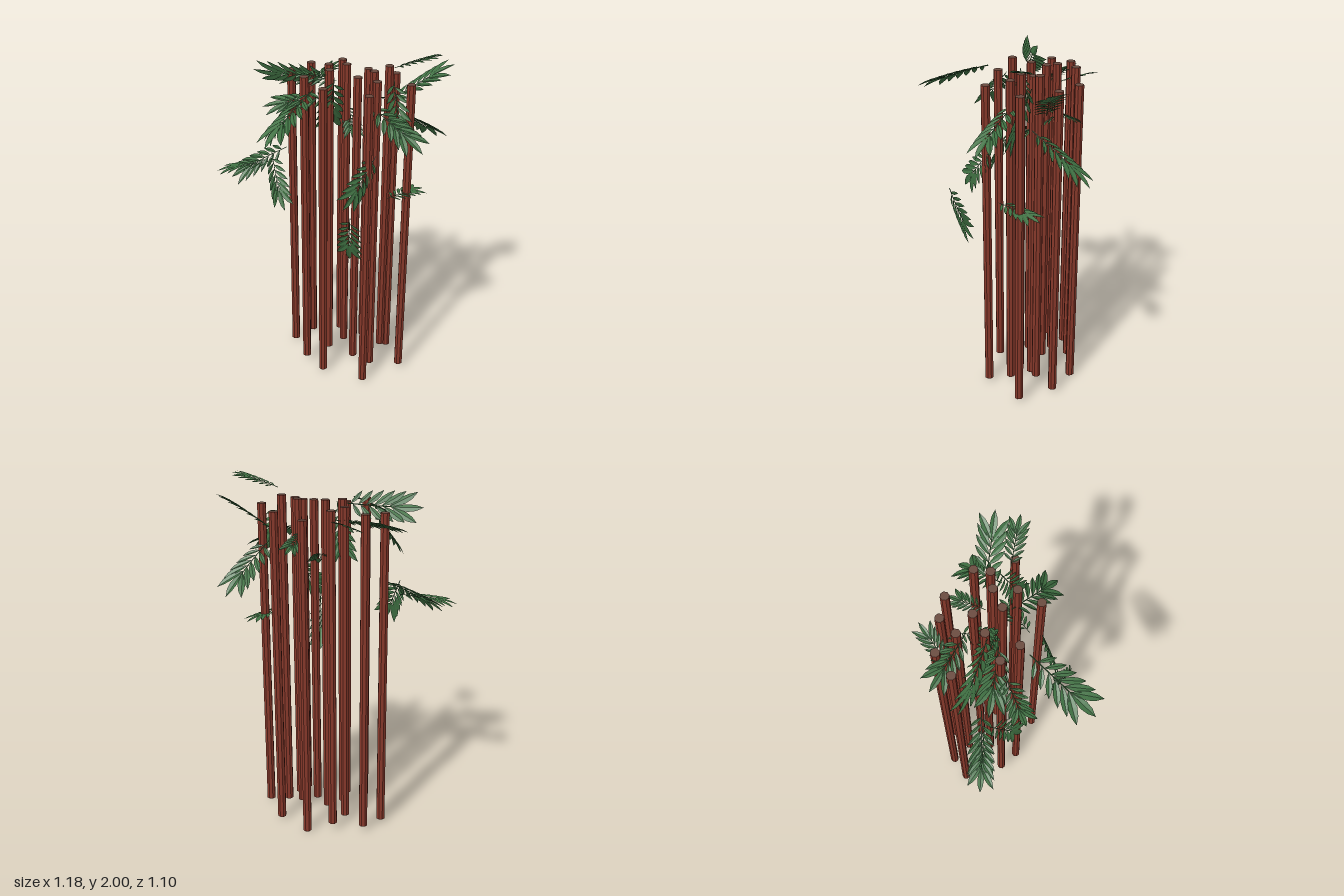
import * as THREE from 'three';
import { mergeGeometries } from 'three/addons/utils/BufferGeometryUtils.js';

const bark = new THREE.MeshStandardMaterial({ color: 0x86382a, flatShading: true });
bark.name = 'red brown bark';
const cut = new THREE.MeshStandardMaterial({ color: 0x6a4a3e });
cut.name = 'brown cut end';
const green = new THREE.MeshStandardMaterial({ color: 0x3f7042, flatShading: true, side: THREE.DoubleSide });
green.name = 'leaf green';

// Stems: x, z, height of the lower end
const STEM_LENGTH = 1.81;
const STEMS = [
  [0.08, -0.385, 0], [-0.055, -0.33, 0.05], [-0.215, -0.26, 0.03], [-0.085, -0.22, 0.05],
  [0.035, -0.195, 0.075], [0.27, -0.33, 0.02], [0.27, -0.23, 0.09], [0.205, -0.18, 0.065],
  [-0.275, -0.135, 0.02], [-0.02, -0.095, 0.065], [0.147, -0.093, 0.05], [0.268, -0.075, 0.05],
  [0.28, 0.055, 0.015], [-0.105, 0.038, 0.055], [0.025, 0.075, 0.02], [0.42, -0.175, 0.025],
];

// Fronds: base, tip, roll about the rib away from facing up
const FRONDS = [
  // Low on the right side
  [[-0.30, 1.34, 0.05], [-0.59, 1.28, 0.19], -0.05],
  [[-0.24, 1.42, 0], [-0.52, 1.24, 0.15], 0.48],
  [[-0.29, 1.41, 0.08], [-0.15, 1.13, 0.2], -1],
  // Crown, right half
  [[0, 1.84, 0.14], [-0.06, 1.66, 0.55], -0.28],
  [[-0.13, 1.77, 0.08], [-0.23, 1.52, 0.26], -0.31],
  [[-0.02, 1.85, -0.08], [-0.44, 1.84, 0], 2.23],
  [[0.02, 1.74, -0.04], [-0.33, 1.68, 0.1], 0.3],
  [[-0.03, 1.78, -0.2], [-0.38, 1.76, -0.2], 0.42],
  [[-0.2, 1.72, -0.2], [-0.11, 1.82, -0.42], 0.07],
  [[0.03, 1.85, -0.05], [-0.05, 1.5, -0.13], 3.14],
  // Crown, left half
  [[0.01, 1.62, -0.28], [0.14, 1.5, -0.08], -0.21],
  [[0.16, 1.7, -0.2], [0.16, 1.63, -0.43], 0.25],
  [[0.33, 1.92, -0.15], [0.57, 2, -0.23], 0.1],
  [[0.28, 1.7, -0.27], [0.58, 1.91, -0.38], -0.22],
  [[0.36, 1.64, -0.22], [0.45, 1.41, -0.55], 0.15],
  [[0.22, 1.72, -0.08], [0.57, 1.54, 0.01], -0.24],
  [[0.31, 1.84, -0.2], [0.41, 1.5, -0.12], -1.13],
  // Low on the left side
  [[0.36, 1.215, -0.04], [0.47, 1.19, -0.3], -0.09],
  [[0.31, 1.48, 0.02], [0.21, 1.22, 0.21], 1.45],
  [[0.28, 1.22, 0.27], [0.23, 0.9, 0.16], 2.79],
];

// Pointed leaflet of length 1 along +z, folded along its midrib
function leafletGeometry() {
  const halfWidths = [0, 0.09, 0.13, 0.1, 0];
  const pos = [], index = [];
  halfWidths.forEach((w, i) => {
    const z = i / 4;
    const sag = -0.08 * z * z;
    pos.push(-w, sag + w * 0.3, z, 0, sag, z, w, sag + w * 0.3, z);
    if (i === 0) return;
    for (const k of [0, 1]) {
      const a = (i - 1) * 3 + k, b = a + 3;
      if (i > 1) index.push(a, b, a + 1);
      if (i < 4) index.push(a + 1, b, b + 1);
    }
  });
  const g = new THREE.BufferGeometry();
  g.setAttribute('position', new THREE.Float32BufferAttribute(pos, 3));
  g.setIndex(index);
  return g.toNonIndexed();
}

// Feathered frond of length 1 along +z: a rib, six leaflet pairs and an end leaflet
function frondGeometry() {
  const ribY = (z) => 0.1 * z * (1 - z);
  const leaflet = leafletGeometry();
  const parts = [];
  const add = (z, length, yaw) => {
    const g = leaflet.clone().scale(length, length, length);
    parts.push(g.rotateY(yaw).translate(0, ribY(z), z));
  };
  for (let i = 0; i < 6; i++) {
    const t = i / 5;
    for (const side of [-1, 1]) {
      add(0.1 + 0.48 * t + side * 0.015, 0.22 + 0.18 * t, side * (0.95 - 0.4 * t));
    }
  }
  add(0.6, 0.4, 0);
  const points = [0, 0.3, 0.62].map((z) => new THREE.Vector3(0, ribY(z), z));
  const rib = new THREE.TubeGeometry(new THREE.CatmullRomCurve3(points), 4, 0.007, 4).toNonIndexed();
  rib.deleteAttribute('normal');
  rib.deleteAttribute('uv');
  parts.push(rib);
  const merged = mergeGeometries(parts);
  merged.computeVertexNormals();
  return merged;
}

export function createModel() {
  const model = new THREE.Group();
  model.name = 'stemCluster';

  // Eight-sided stems with brown cut ends
  const stemGeometry = new THREE.CylinderGeometry(0.025, 0.025, STEM_LENGTH, 8);
  STEMS.forEach(([x, z, bottom], i) => {
    const stem = new THREE.Mesh(stemGeometry, [bark, cut, cut]);
    stem.name = `stem${i + 1}`;
    stem.position.set(x, bottom + STEM_LENGTH / 2, z);
    model.add(stem);
  });

  // Fronds, each laid from its base to its tip
  const frondShape = frondGeometry();
  FRONDS.forEach(([base, tip, roll], i) => {
    const end = new THREE.Vector3(...tip);
    const frond = new THREE.Mesh(frondShape, green);
    frond.name = `frond${i + 1}`;
    frond.position.set(...base);
    frond.scale.setScalar(frond.position.distanceTo(end));
    frond.lookAt(end);
    frond.rotateZ(-roll);
    model.add(frond);
  });
  return model;
}
